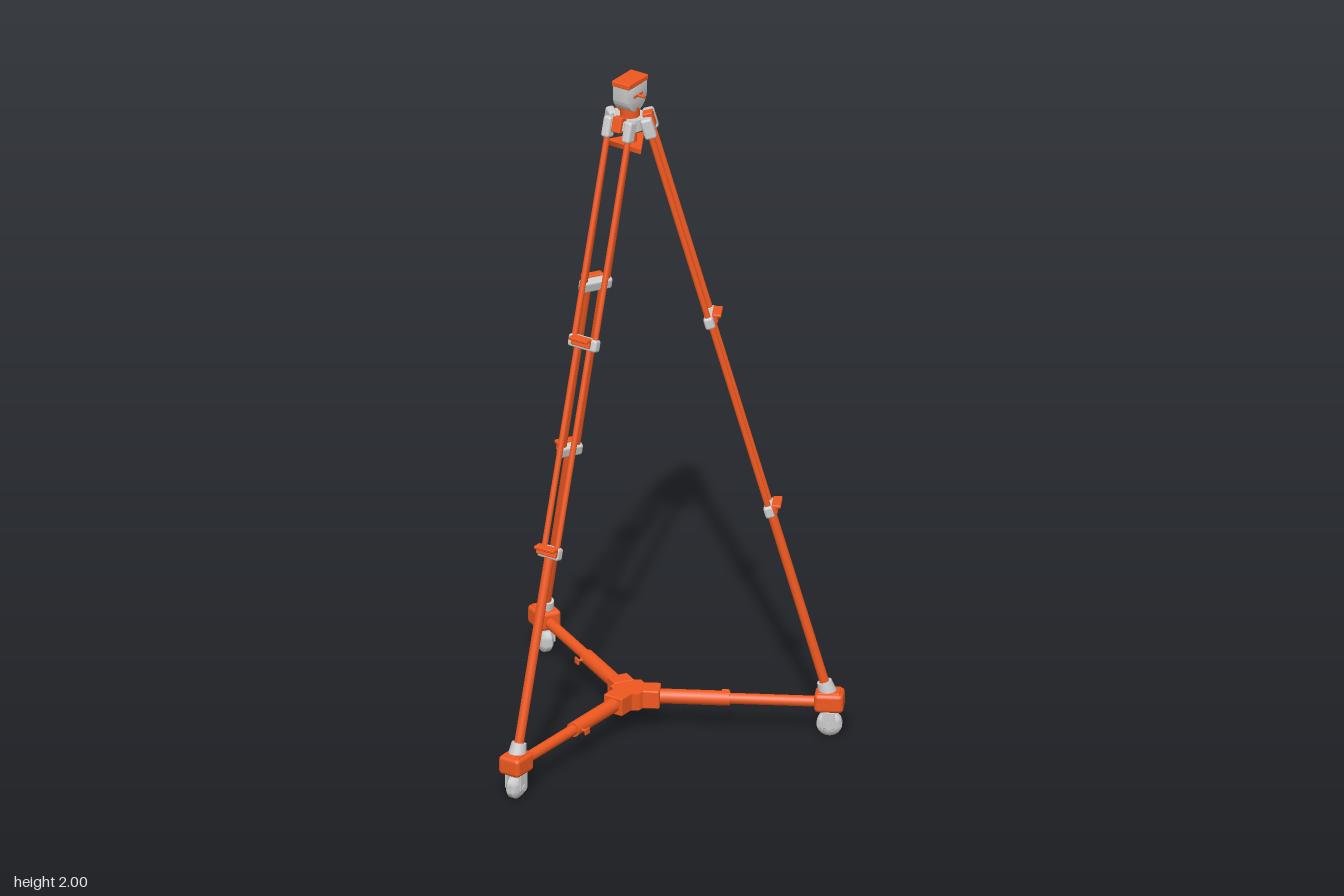
import * as THREE from 'three';
import { RoundedBoxGeometry } from 'three/addons/geometries/RoundedBoxGeometry.js';
import { toCreasedNormals } from 'three/addons/utils/BufferGeometryUtils.js';

const orange = new THREE.MeshStandardMaterial({ color: 0xf0581f });
const grey = new THREE.MeshStandardMaterial({ color: 0xcccccc });

const AXIS_Z = -0.14;          // tripod axis
const FOOT = [0.14, 0.55];     // height and radius of the leg's lower end
const TOP = [1.86, 0.055];     // height and radius of the leg's upper end
const TILT = Math.atan2(FOOT[1] - TOP[1], TOP[0] - FOOT[0]);

function add(parent, name, geometry, material, x = 0, y = 0, z = 0) {
  const mesh = new THREE.Mesh(geometry, material);
  mesh.name = name;
  mesh.position.set(x, y, z);
  parent.add(mesh);
  return mesh;
}
const box = (w, h, d, r = 0.005) => new RoundedBoxGeometry(w, h, d, 2, r);
const rod = (r, len, r2 = r) => new THREE.CylinderGeometry(r2, r, len, 20);

// Distance along the leg for a given height
const along = (y) => (y - FOOT[0]) / Math.cos(TILT);

function tube(parent, name, x, y0, y1, r) {
  const a = along(y0), b = along(y1);
  add(parent, name, rod(r, b - a), orange, x, (a + b) / 2, 0);
}

// Grey collar with orange flip lever
function clamp(parent, y, halfWidth, leverWidth) {
  const g = new THREE.Group();
  g.name = 'legClamp';
  g.position.y = along(y);
  parent.add(g);
  add(g, 'collar', box(halfWidth * 2, 0.036, 0.028, 0.008), grey);
  add(g, 'leverBase', box(leverWidth, 0.022, 0.014, 0.003), orange, 0, 0.002, 0.016);
  const lever = add(g, 'lever', box(leverWidth, 0.01, 0.026, 0.003), orange, 0, 0.012, 0.024);
  lever.rotation.x = TILT;
}

function makeLeg() {
  const leg = new THREE.Group();
  leg.name = 'leg';
  leg.position.set(0, FOOT[0], FOOT[1]);
  leg.rotation.x = -TILT;
  for (const s of [-1, 1]) {
    tube(leg, 'upperTube', s * 0.035, 1.27, 1.86, 0.0085);
    tube(leg, 'middleTube', s * 0.021, 0.69, 1.28, 0.0085);
    add(leg, 'hingeEar', box(0.026, 0.062, 0.034, 0.008), grey, s * 0.035, along(1.862), 0);
  }
  add(leg, 'hingeBridge', box(0.07, 0.03, 0.022), grey, 0, along(1.873), -0.004);
  add(leg, 'hingeBlock', box(0.03, 0.045, 0.028, 0.003), orange, 0, along(1.875), 0.004);
  clamp(leg, 1.27, 0.048, 0.062);
  clamp(leg, 0.69, 0.036, 0.066);
  tube(leg, 'lowerTube', 0, 0.13, 0.69, 0.0135);
  add(leg, 'footSleeve', rod(0.026, 0.035, 0.021), grey, 0, 0.006, 0);
  return leg;
}

// Chamfered wheel turning about x
function wheelGeometry() {
  const profile = [[0, -0.02], [0.02, -0.02], [0.028, -0.016], [0.036, -0.008],
    [0.036, 0.008], [0.028, 0.016], [0.02, 0.02], [0, 0.02]];
  const g = new THREE.LatheGeometry(profile.map(([r, y]) => new THREE.Vector2(r, y)), 24);
  return toCreasedNormals(g.rotateZ(Math.PI / 2), 0.6);
}

function makeCaster() {
  const g = new THREE.Group();
  g.name = 'caster';
  g.position.z = 0.558;
  add(g, 'footBlock', box(0.07, 0.056, 0.082, 0.012), orange, 0, 0.106, 0);
  add(g, 'footRim', box(0.052, 0.008, 0.062, 0.003), orange, 0, 0.133, 0);
  add(g, 'wheel', wheelGeometry(), grey, 0, 0.036, 0);
  for (const s of [-1, 1]) {
    add(g, 'forkSide', box(0.007, 0.05, 0.036, 0.003), grey, s * 0.024, 0.054, 0);
    add(g, 'axleCap', rod(0.01, 0.008), grey, s * 0.026, 0.036, 0).rotation.z = Math.PI / 2;
  }
  add(g, 'swivel', rod(0.022, 0.012), grey, 0, 0.075, 0);
  return g;
}

function makeArm() {
  const g = new THREE.Group();
  g.name = 'dollyArm';
  g.position.y = 0.1;
  add(g, 'innerArm', rod(0.021, 0.23), orange, 0, 0, 0.165).rotation.x = Math.PI / 2;
  add(g, 'outerArm', rod(0.0155, 0.27), orange, 0, 0, 0.4).rotation.x = Math.PI / 2;
  add(g, 'hubLug', box(0.062, 0.054, 0.05, 0.004), orange, 0, 0, 0.06);
  add(g, 'lockScrew', rod(0.004, 0.03), orange, 0.024, 0, 0.265).rotation.z = Math.PI / 2;
  add(g, 'lockKnob', box(0.006, 0.018, 0.022, 0.002), orange, 0.038, 0, 0.265);
  return g;
}

function makeHead() {
  const head = new THREE.Group();
  head.name = 'head';
  // Side outline: round below, square above
  const s = new THREE.Shape();
  s.moveTo(0.047, 0.034);
  s.lineTo(-0.047, 0.034);
  s.lineTo(-0.047, 0);
  s.absarc(0, 0, 0.047, Math.PI, Math.PI * 2, false);
  s.closePath();
  const body = new THREE.ExtrudeGeometry(s, {
    depth: 0.046, bevelEnabled: true, bevelSize: 0.003, bevelThickness: 0.004,
    bevelOffset: -0.003, bevelSegments: 2, curveSegments: 20,
  });
  body.translate(0, 0, -0.023).rotateY(Math.PI / 2);
  add(head, 'headBody', toCreasedNormals(body, 0.6), grey, 0, 1.951, 0);
  add(head, 'cameraPlate', box(0.06, 0.016, 0.096, 0.003), orange, 0, 1.992, 0);
  add(head, 'tiltScrew', rod(0.004, 0.026), orange, 0.038, 1.953, 0).rotation.z = Math.PI / 2;
  for (const x of [-0.027, 0.027])
    add(head, 'sideSlot', box(0.004, 0.008, 0.044, 0.0015), orange, x, 1.953, 0);
  add(head, 'headPost', rod(0.028, 0.06), orange, 0, 1.885, 0);
  return head;
}

export function createModel() {
  const model = new THREE.Group();
  model.name = 'tripodOnDolly';
  model.position.z = 0;
  const tripod = new THREE.Group();
  tripod.name = 'tripod';
  tripod.position.z = AXIS_Z;
  model.add(tripod);

  for (let i = 0; i < 3; i++) {
    const side = new THREE.Group();
    side.name = 'legAssembly';
    side.rotation.y = (i * Math.PI * 2) / 3;
    side.add(makeLeg(), makeCaster(), makeArm());
    tripod.add(side);
  }

  // Dolly hub
  add(tripod, 'dollyHub', new THREE.CylinderGeometry(0.056, 0.056, 0.05, 6), orange, 0, 0.1, 0);

  // Crown, centre column and the triangular plate pointing between the legs
  add(tripod, 'crown', rod(0.045, 0.035), grey, 0, 1.868, 0);
  add(tripod, 'column', rod(0.02, 0.07), orange, 0, 1.825, 0);
  const tri = new THREE.CylinderGeometry(0.07, 0.07, 0.014, 3);
  add(tripod, 'spreaderPlate', tri, orange, 0, 1.8, 0).rotation.y = Math.PI;

  tripod.add(makeHead());
  return model;
}
